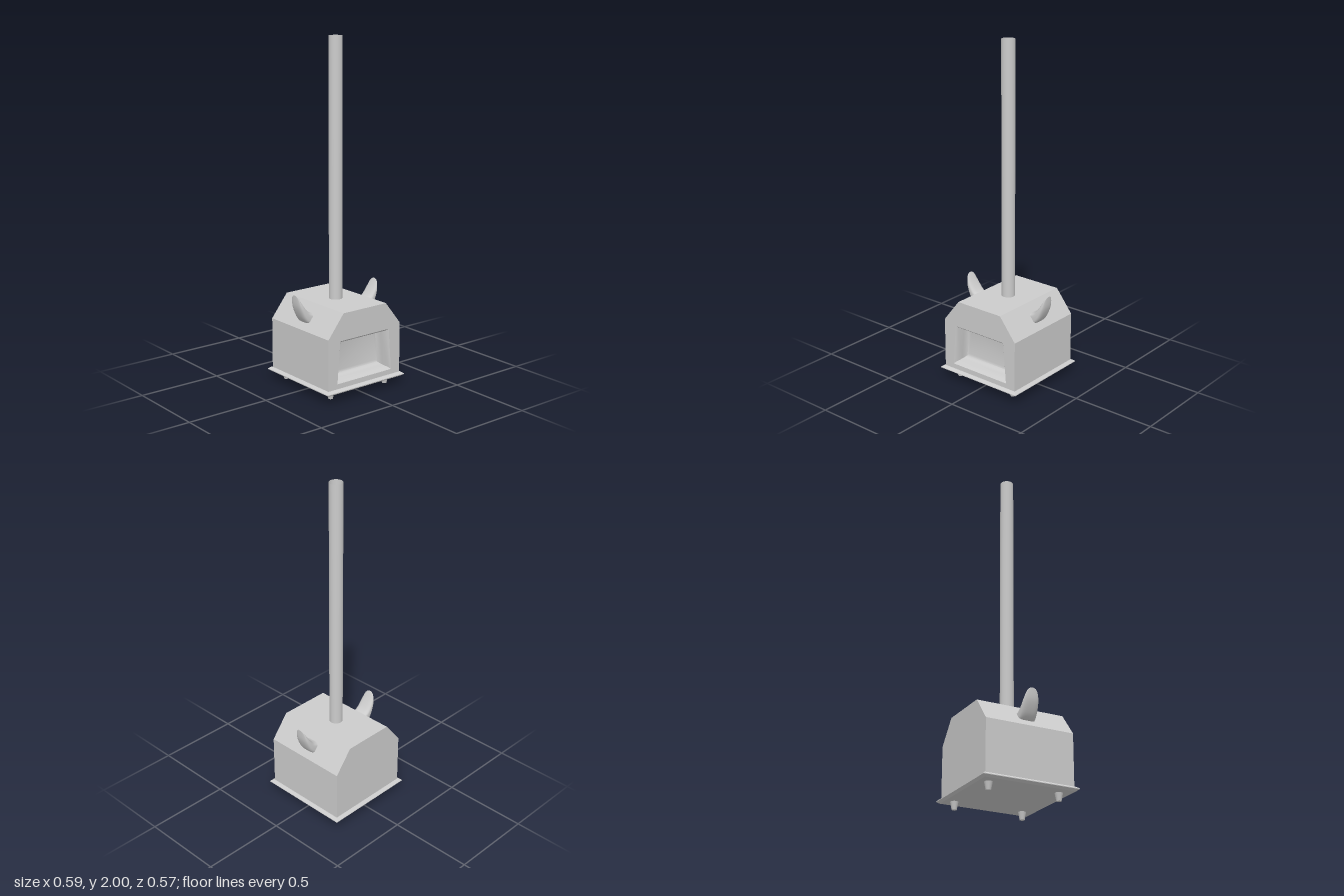
import * as THREE from 'three';
import { toCreasedNormals } from 'three/addons/utils/BufferGeometryUtils.js';

const material = new THREE.MeshStandardMaterial({ color: 0xcccccc });
const openMaterial = new THREE.MeshStandardMaterial({ color: 0xcccccc, side: THREE.DoubleSide });

// Skin a list of closed rings of Vector3 and close the last one with a fan
function loft(rings) {
  const n = rings[0].length;
  const points = rings.flat();
  const last = rings[rings.length - 1];
  const centre = last.reduce((sum, p) => sum.add(p), new THREE.Vector3()).divideScalar(n);
  points.push(centre);
  const index = [];
  for (let i = 0; i < rings.length; i++) {
    for (let j = 0; j < n; j++) {
      const a = i * n + j, b = i * n + (j + 1) % n;
      if (i < rings.length - 1) index.push(a, b, b + n, a, b + n, a + n);
      else index.push(points.length - 1, a, b);
    }
  }
  const geometry = new THREE.BufferGeometry().setFromPoints(points);
  geometry.setIndex(index);
  geometry.computeVertexNormals();
  return geometry;
}

const vectors = (pairs) => pairs.map(([x, y]) => new THREE.Vector2(x, y));

// Curved horn lofted between its inner and outer edge curves
function hornGeometry() {
  const inner = new THREE.SplineCurve(vectors([[0.18, 0.455], [0.197, 0.457], [0.226, 0.474], [0.26, 0.518], [0.291, 0.571]]));
  const outer = new THREE.SplineCurve(vectors([[0.222, 0.4], [0.24, 0.408], [0.264, 0.442], [0.288, 0.505], [0.294, 0.571]]));
  const rings = [];
  const rows = 20, sides = 28;
  for (let i = 0; i <= rows; i++) {
    const t = 1 - (1 - i / rows) ** 1.5;
    const p = inner.getPoint(t), q = outer.getPoint(t);
    const width = 0.049 * Math.pow(Math.max(1 - t ** 5, 0.03), 0.5);
    const power = THREE.MathUtils.lerp(0.4, 0.9, t);
    const ring = [];
    for (let j = 0; j < sides; j++) {
      const angle = j / sides * Math.PI * 2;
      const c = Math.cos(angle), s = Math.sin(angle);
      const k = 0.5 + 0.5 * Math.sign(c) * Math.abs(c) ** power;
      ring.push(new THREE.Vector3(
        THREE.MathUtils.lerp(p.x, q.x, k),
        THREE.MathUtils.lerp(p.y, q.y, k),
        -width * Math.sign(s) * Math.abs(s) ** power));
    }
    rings.push(ring);
  }
  return loft(rings);
}

export function createModel() {
  const group = new THREE.Group();
  const add = (name, geometry, x = 0, y = 0, z = 0, mat = material) => {
    const mesh = new THREE.Mesh(geometry, mat);
    mesh.name = name;
    mesh.position.set(x, y, z);
    group.add(mesh);
    return mesh;
  };

  // Body with sloping shoulders; the front slice holds the opening
  const half = 0.262, recess = 0.1;
  const outline = vectors([[-half, 0.07], [half, 0.07], [half, 0.368], [0.155, 0.503], [-0.155, 0.503], [-half, 0.368]]);
  const opening = [[-0.198, 0.1], [0.198, 0.1], [0.178, 0.346], [-0.178, 0.346]];
  const extrude = (shape, depth) => new THREE.ExtrudeGeometry(shape, { depth, bevelEnabled: false });
  add('bodyRear', extrude(new THREE.Shape(outline), 2 * half - recess), 0, 0, -half);
  const frontShape = new THREE.Shape(outline);
  frontShape.holes.push(new THREE.Path(vectors(opening)));
  add('bodyFront', extrude(frontShape, recess), 0, 0, half - recess);

  // Lining of the opening, rounded into its back wall
  const linerRings = [[0, 0], [0.01, 0.012], [0.013, 0.06], [0.018, 0.08], [0.026, 0.092], [0.038, 0.096]]
    .map(([inset, depth]) => opening.map(([x, y], i) =>
      new THREE.Vector3(x - Math.sign(x) * inset, y + (i < 2 ? inset : -inset), half - depth)));
  add('openingLining', toCreasedNormals(loft(linerRings), 0.7));

  // Bevelled base plate
  const s = 0.267, bevel = 0.016;
  const square = new THREE.Shape(vectors([[-s, -s], [s, -s], [s, s], [-s, s]]));
  const plate = new THREE.ExtrudeGeometry(square, {
    depth: 0.004, bevelThickness: 0.011, bevelSize: bevel, bevelSegments: 1 });
  plate.rotateX(-Math.PI / 2);
  add('basePlate', plate, 0, 0.056, 0);

  // Tapered feet
  const foot = new THREE.CylinderGeometry(0.023, 0.014, 0.047, 12);
  for (const x of [-0.2, 0.2]) for (const z of [-0.213, 0.203]) add('foot', foot, x, 0.0235, z);

  // Open chimney pipe
  add('chimney', new THREE.CylinderGeometry(0.039, 0.039, 1.5, 32, 1, true), 0, 1.25, 0, openMaterial);

  // Pair of horns on the shoulders
  const horn = hornGeometry();
  add('leftHorn', horn);
  add('rightHorn', horn).rotation.y = Math.PI;

  return group;
}
